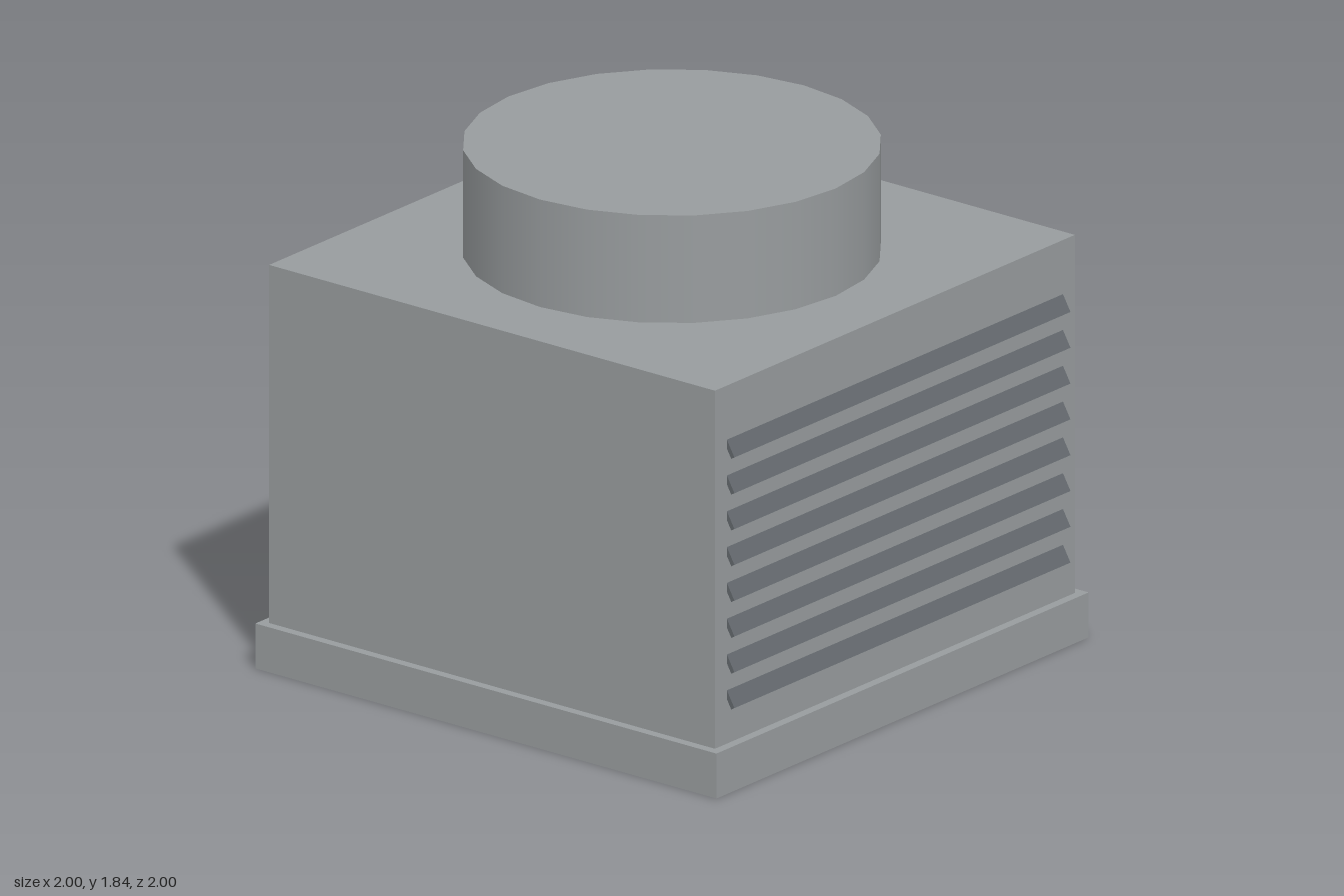
import * as THREE from 'three';

export function createModel() {
  const model = new THREE.Group();
  const casingGrey = new THREE.MeshStandardMaterial({ color: 0x989c9e });
  casingGrey.name = 'casing grey';
  const slatGrey = new THREE.MeshStandardMaterial({ color: 0x62676c });
  slatGrey.name = 'slat grey';

  const add = (parent, name, geometry, material, x, y, z) => {
    const mesh = new THREE.Mesh(geometry, material);
    mesh.name = name;
    mesh.position.set(x, y, z);
    parent.add(mesh);
    return mesh;
  };

  // Plinth and housing
  const baseTop = 0.162, bodyTop = 1.452, bodyHalf = 0.967;
  add(model, 'base', new THREE.BoxGeometry(2, baseTop, 2), casingGrey, 0, baseTop / 2, 0);
  add(model, 'housing', new THREE.BoxGeometry(bodyHalf * 2, bodyTop - baseTop, bodyHalf * 2),
    casingGrey, 0, (baseTop + bodyTop) / 2, 0);

  // Round fan duct on the roof
  const ductHeight = 0.387;
  add(model, 'fanDuct', new THREE.CylinderGeometry(0.709, 0.709, ductHeight, 24),
    casingGrey, 0, bodyTop + ductHeight / 2, 0);

  // Tilted louvre slats, half sunk into the front and back walls
  const slat = new THREE.BoxGeometry(1.806, 0.103, 0.016);
  for (const [name, turn] of [['frontLouvre', 0], ['backLouvre', Math.PI]]) {
    const louvre = new THREE.Group();
    louvre.name = name;
    louvre.rotation.y = turn;
    for (let i = 0; i < 8; i++) {
      const blade = add(louvre, 'slat', slat, slatGrey, 0, 0.338 + i * 0.129, bodyHalf);
      blade.rotation.x = -Math.PI / 6;
    }
    model.add(louvre);
  }
  return model;
}
